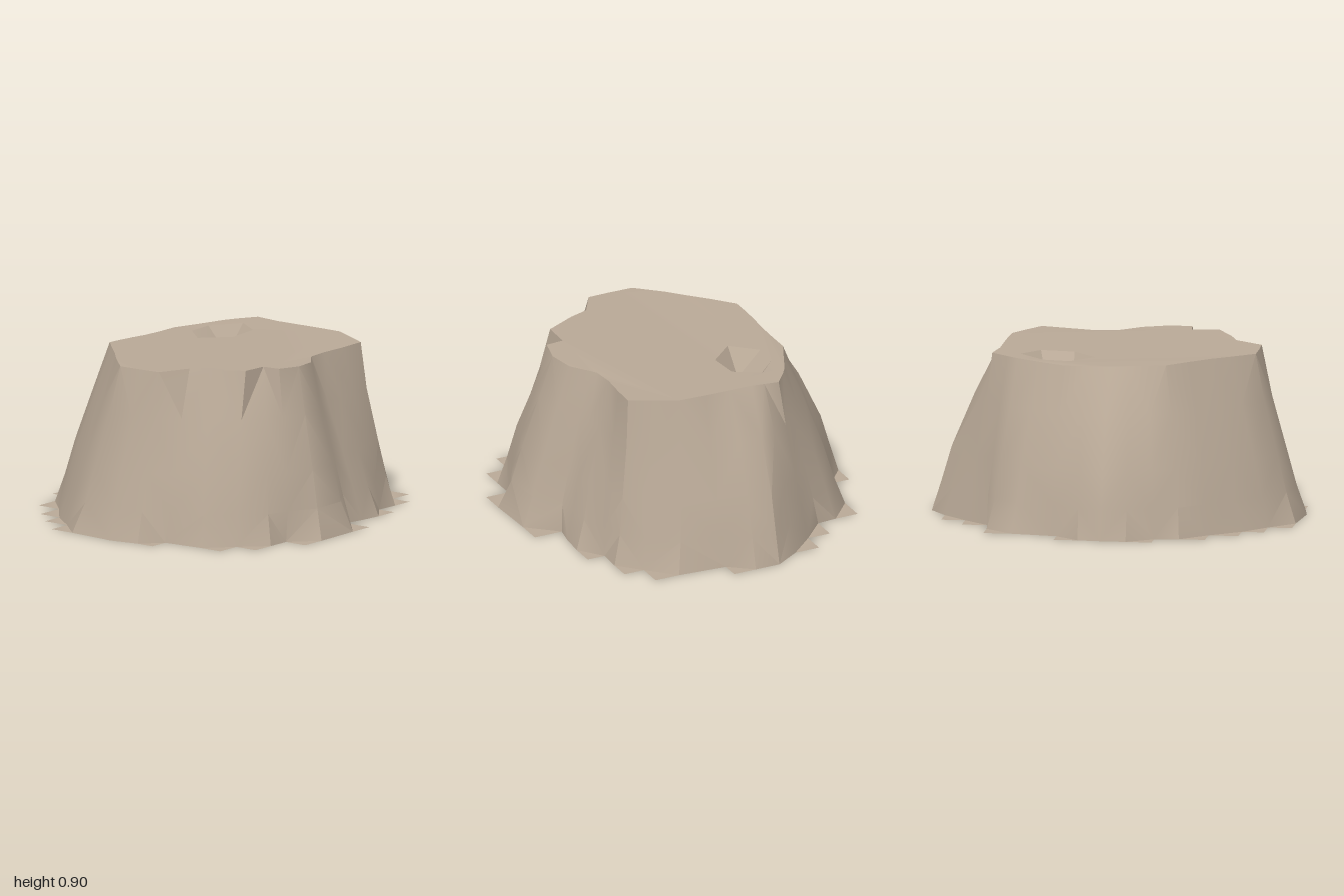
import * as THREE from 'three';
import { toCreasedNormals } from 'three/addons/utils/BufferGeometryUtils.js';

// Plan outlines [x, z], clockwise from the back; foot and rim pair up column by column
const FOOT = [
  [-0.02, -0.92], [0.1, -0.91], [0.23, -0.8], [0.48, -0.76], [0.63, -0.63], [0.64, -0.52], [0.78, -0.39],
  [0.91, -0.25], [1, -0.11], [1, 0.03], [0.9, 0.16], [0.88, 0.43], [0.74, 0.57], [0.62, 0.685],
  [0.49, 0.68], [0.36, 0.78], [0.23, 0.77], [0.12, 0.75], [-0.02, 0.91], [-0.3, 0.92], [-0.44, 0.79],
  [-0.57, 0.79], [-0.7, 0.66], [-0.84, 0.53], [-0.86, 0.3], [-0.97, 0.2], [-1, 0.04], [-0.98, -0.24],
  [-0.85, -0.38], [-0.73, -0.53], [-0.57, -0.66], [-0.43, -0.8], [-0.3, -0.82], [-0.16, -0.92],
];
const RIM = [
  [-0.02, -0.515], [0.11, -0.515], [0.23, -0.515], [0.37, -0.45], [0.5, -0.39], [0.56, -0.35], [0.65, -0.28],
  [0.64, -0.2], [0.63, -0.13], [0.63, 0], [0.63, 0.15], [0.625, 0.3], [0.56, 0.43], [0.5, 0.545],
  [0.36, 0.535], [0.22, 0.52], [0.1, 0.53], [0.07, 0.55], [-0.03, 0.63], [-0.17, 0.66], [-0.3, 0.63],
  [-0.31, 0.53], [-0.46, 0.53], [-0.55, 0.36], [-0.59, 0.25], [-0.74, 0.16], [-0.745, 0.04], [-0.745, -0.1],
  [-0.62, -0.23], [-0.53, -0.31], [-0.43, -0.41], [-0.32, -0.515], [-0.22, -0.52], [-0.12, -0.52],
];
const PIT = [[0.1, -0.25], [0.22, -0.385], [0.36, -0.385], [0.5, -0.26], [0.41, -0.12], [0.23, -0.11]];
const N = FOOT.length;
const LEVELS = [0, 0.18, 0.4, 0.72, 1];

// Gently uneven height of the plateau
const topY = (x, z) => 0.888 + 0.009 * Math.sin(5 * x + 4) + 0.01 * z;

const onTop = ([x, z]) => new THREE.Vector3(x, topY(x, z), z);

function trianglesToGeometry(points, crease) {
  const geometry = new THREE.BufferGeometry().setFromPoints(points);
  geometry.computeVertexNormals();
  return toCreasedNormals(geometry, crease);
}

// One point of the slope; wide slopes bulge, middle rings are softened
function slopePoint(i, level) {
  const t = LEVELS[level];
  const at = (k) => {
    const j = (k + N) % N;
    const f = new THREE.Vector3(FOOT[j][0], 0, FOOT[j][1]);
    const r = onTop(RIM[j]);
    const gap = Math.hypot(f.x - r.x, f.z - r.z);
    const bulge = Math.max(0, gap - 0.26) * 0.5 * Math.sin(Math.PI * t);
    const p = f.clone().lerp(r, t);
    const out = new THREE.Vector3(f.x, 0, f.z).normalize();
    return p.addScaledVector(out, bulge);
  };
  const p = at(i);
  if (t === 0 || t === 1) return p;
  const neighbours = at(i - 1).add(at(i + 1)).multiplyScalar(0.5);
  return p.lerp(neighbours, 0.3);
}

export function createModel() {
  const group = new THREE.Group();
  group.name = 'rockPlateau';
  const stone = new THREE.MeshStandardMaterial({ color: 0xb8a896, side: THREE.DoubleSide });
  stone.name = 'warm stone';
  const add = (name, geometry) => {
    const mesh = new THREE.Mesh(geometry, stone);
    mesh.name = name;
    group.add(mesh);
  };

  // Slopes, open underneath
  const wall = [];
  for (let l = 0; l < LEVELS.length - 1; l++) {
    for (let i = 0; i < N; i++) {
      const a = slopePoint(i, l), b = slopePoint(i + 1 === N ? 0 : i + 1, l);
      const c = slopePoint(i, l + 1), d = slopePoint(i + 1 === N ? 0 : i + 1, l + 1);
      if (i % 2) wall.push(b, a, c, b, c, d);
      else wall.push(b, a, d, a, c, d);
    }
  }
  add('slopes', trianglesToGeometry(wall, 0.55));

  // Plateau with an opening for the pit
  const flat = (list) => list.map(([x, z]) => new THREE.Vector2(x, -z));
  const shape = new THREE.Shape(flat(RIM));
  shape.holes.push(new THREE.Path(flat(PIT)));
  const plateau = new THREE.ShapeGeometry(shape).rotateX(-Math.PI / 2);
  const pos = plateau.attributes.position;
  for (let i = 0; i < pos.count; i++) pos.setY(i, topY(pos.getX(i), pos.getZ(i)));
  plateau.computeVertexNormals();
  add('plateau', plateau);

  // Small pit sloping down to a short ridge line
  const p = PIT.map(onTop);
  const f = new THREE.Vector3(0.22, 0.74, -0.25), g = new THREE.Vector3(0.36, 0.74, -0.26);
  add('pit', trianglesToGeometry([
    p[1], p[0], f, p[0], p[5], f, p[2], p[1], f, p[2], f, g,
    p[3], p[2], g, p[4], p[3], g, p[5], p[4], g, p[5], g, f,
  ], 0.3));

  // Flat pointed corners around the foot
  const teeth = [];
  for (let i = 0; i < N; i++) {
    const [ax, az] = FOOT[i], [bx, bz] = FOOT[(i + 1) % N];
    if (Math.abs(ax - bx) < 0.095 || Math.abs(az - bz) < 0.095) continue;
    const [tx, tz] = Math.hypot(ax, bz) > Math.hypot(bx, az) ? [ax, bz] : [bx, az];
    teeth.push(new THREE.Vector3(ax, 0, az), new THREE.Vector3(bx, 0, bz), new THREE.Vector3(tx, 0, tz));
  }
  add('footCorners', trianglesToGeometry(teeth, 0.3));

  return group;
}
